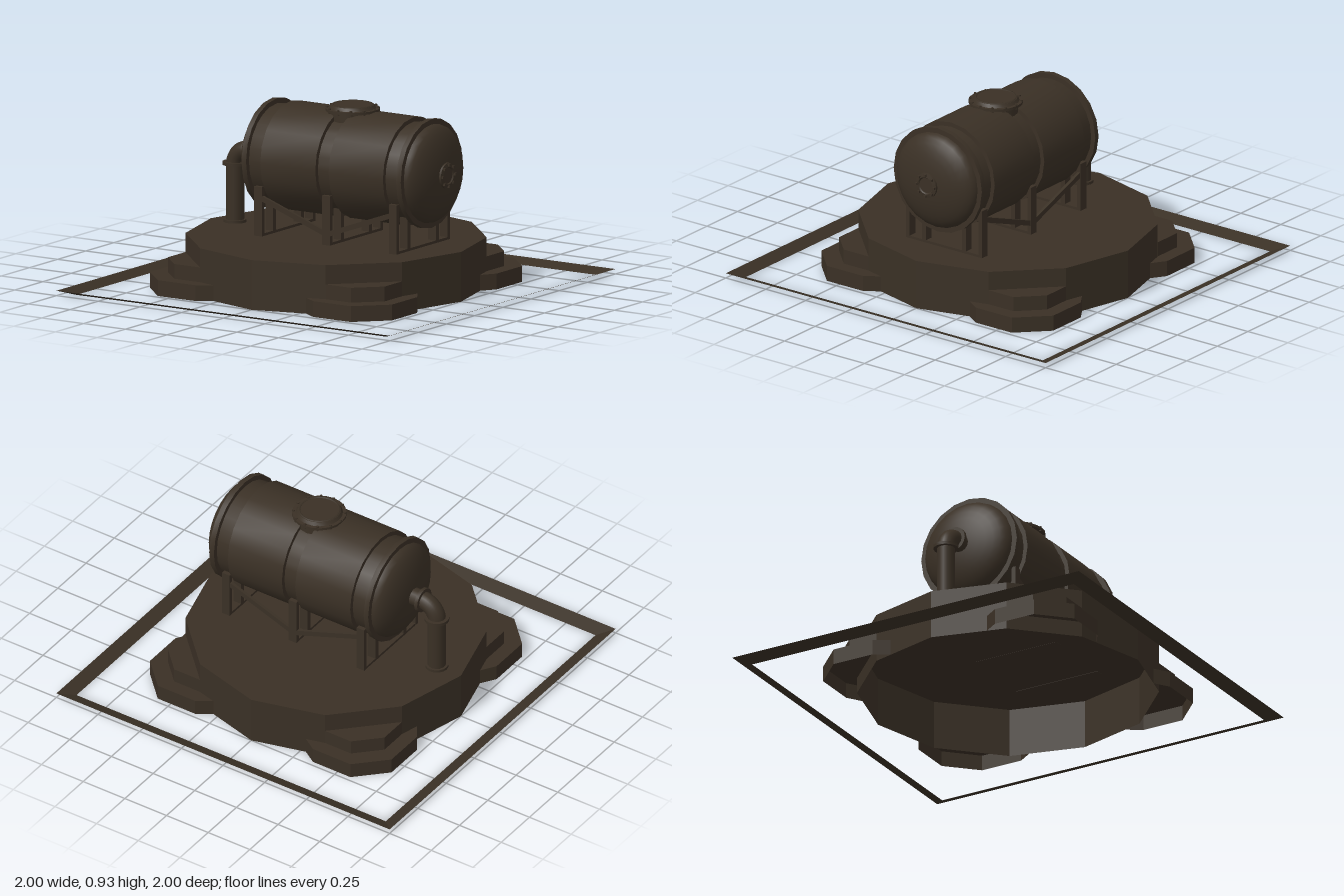
import * as THREE from 'three';
import { toCreasedNormals } from 'three/addons/utils/BufferGeometryUtils.js';

export function createModel() {
  const model = new THREE.Group();
  model.name = 'storageTank';
  const darkBrown = new THREE.MeshStandardMaterial({ color: 0x3a3025, side: THREE.DoubleSide });
  darkBrown.name = 'darkBrown';

  const add = (name, geo, x = 0, y = 0, z = 0, parent = model) => {
    const mesh = new THREE.Mesh(geo, darkBrown);
    mesh.name = name;
    mesh.position.set(x, y, z);
    parent.add(mesh);
    return mesh;
  };
  const box = (name, w, h, d, x, y, z) => add(name, new THREE.BoxGeometry(w, h, d), x, y, z);
  const turned = (profile, sides) => toCreasedNormals(
    new THREE.LatheGeometry(profile.map(([r, y]) => new THREE.Vector2(r, y)), sides), 0.6);
  const turnedX = (profile, sides) => turned(profile, sides).rotateZ(-Math.PI / 2);
  const disc = (r, h) => [[0, 0], [r, 0], [r, h], [0, h]];
  const fromCorners = (corners) => {
    const geo = new THREE.BufferGeometry();
    geo.setAttribute('position', new THREE.Float32BufferAttribute(corners.flat(), 3));
    geo.computeVertexNormals();
    return geo;
  };
  const quad = (a, b, c, d) => [a, b, c, a, c, d];

  // Walls and lid over an [x, z] outline, open underneath
  const shell = (outline, y0, y1) => {
    const corners = [];
    outline.forEach(([x, z], i) => {
      const [u, w] = outline[(i + 1) % outline.length];
      corners.push(...quad([x, y0, z], [u, y0, w], [u, y1, w], [x, y1, z]));
    });
    const flat = outline.map(([x, z]) => new THREE.Vector2(x, -z));
    for (const face of THREE.ShapeUtils.triangulateShape(flat, [])) {
      for (const i of face) corners.push([outline[i][0], y1, outline[i][1]]);
    }
    return fromCorners(corners);
  };

  // Sloping square border on the ground
  const border = [];
  const square = [[-1, 1], [1, 1], [1, -1], [-1, -1]];
  square.forEach(([x, z], i) => {
    const [u, w] = square[(i + 1) % 4];
    const k = 0.928;
    border.push(...quad([x, 0.025, z], [u, 0.025, w], [u * k, 0, w * k], [x * k, 0, z * k]));
  });
  add('groundBorder', fromCorners(border));

  // Twelve-sided plinth
  const ring = [];
  for (let i = 0; i < 12; i++) {
    const a = i * Math.PI / 6;
    ring.push([0.75 * Math.sin(a), 0.75 * Math.cos(a)]);
  }
  add('plinth', shell(ring, 0, 0.252));

  // Two-tier footings at the four corners
  const lowStep = [[0.278, 0.676], [0.353, 0.725], [0.578, 0.725], [0.725, 0.578],
    [0.725, 0.353], [0.676, 0.278], [0.65, 0.375], [0.375, 0.65]];
  const highStep = [[0.375, 0.65], [0.53, 0.65], [0.65, 0.53], [0.65, 0.375]];
  for (let i = 0; i < 4; i++) {
    const footing = new THREE.Group();
    footing.name = 'cornerFooting';
    footing.rotation.y = i * Math.PI / 2;
    add('lowerStep', shell(lowStep, 0, 0.08), 0, 0, 0, footing);
    add('upperStep', shell(highStep, 0.08, 0.155), 0, 0, 0, footing);
    model.add(footing);
  }

  // Tank vessel with domed ends
  const axisY = 0.63;
  const dome = [];
  for (let i = 0; i <= 8; i++) {
    const a = i / 8 * Math.PI / 2;
    dome.push([0.25 * Math.cos(a), 0.095 * Math.sin(a)]);
  }
  const vessel = [
    ...dome.map(([r, h]) => [r, -0.375 - h]).reverse(),
    ...dome.map(([r, h]) => [r, 0.57 + h]),
  ];
  add('tankVessel', turnedX(vessel, 24), 0, axisY, 0);

  // Raised cladding and end hoops
  const band = (x0, x1, r) => turnedX([[0.24, x0], [r, x0], [r, x1], [0.24, x1]], 20);
  add('cladding', band(-0.27, 0.06, 0.273), 0, axisY, 0);
  add('cladding', band(0.14, 0.465, 0.273), 0, axisY, 0);
  add('endHoop', band(-0.38, -0.353, 0.276), 0, axisY, 0);
  add('endHoop', band(0.546, 0.574, 0.276), 0, axisY, 0);

  // Round cover plate with bolts on the right end
  add('endCover', turnedX([[0, 0.64], [0.065, 0.64], [0.065, 0.672], [0.045, 0.676], [0.04, 0.67], [0, 0.67]], 16), 0, axisY, 0);
  for (let i = 0; i < 8; i++) {
    const a = i * Math.PI / 4;
    box('coverBolt', 0.012, 0.012, 0.012, 0.677, axisY + 0.055 * Math.cos(a), 0.055 * Math.sin(a));
  }

  // Top hatch
  const hatchX = 0.1;
  add('hatch', turned([[0.115, 0.84], [0.115, 0.897], [0.136, 0.897], [0.136, 0.91],
    [0.118, 0.91], [0.108, 0.926], [0, 0.926]], 20), hatchX, 0, 0);
  add('hatchRim', new THREE.TorusGeometry(0.1, 0.007, 6, 20).rotateX(Math.PI / 2), hatchX, 0.923, 0);
  for (let i = 0; i < 12; i++) {
    const a = i * Math.PI / 6;
    add('hatchBolt', new THREE.CylinderGeometry(0.007, 0.007, 0.026, 6),
      hatchX + 0.128 * Math.cos(a), 0.904, 0.128 * Math.sin(a));
  }

  // Outlet pipe with elbow and flanges
  const pipeX = -0.605, bend = 0.085, pipeY = 0.627;
  const route = new THREE.CurvePath();
  const v = (x, y) => new THREE.Vector3(x, y, 0);
  route.add(new THREE.LineCurve3(v(pipeX, 0.25), v(pipeX, pipeY - bend)));
  route.add(new THREE.CubicBezierCurve3(v(pipeX, pipeY - bend), v(pipeX, pipeY - bend * 0.45),
    v(pipeX + bend * 0.45, pipeY), v(pipeX + bend, pipeY)));
  route.add(new THREE.LineCurve3(v(pipeX + bend, pipeY), v(-0.44, pipeY)));
  add('outletPipe', new THREE.TubeGeometry(route, 48, 0.046, 14));
  add('pipeFlange', turned(disc(0.063, 0.016), 16), pipeX, 0.542, 0);
  add('pipeFoot', turned(disc(0.058, 0.014), 16), pipeX, 0.252, 0);
  add('pipeFlange', turnedX(disc(0.064, 0.018), 16), -0.53, pipeY, 0);

  // Support frames
  for (const x of [-0.307, 0.1, 0.5]) {
    box('footRail', 0.045, 0.014, 0.47, x, 0.258, 0);
    for (const side of [-1, 1]) {
      box('outerPost', 0.046, 0.25, 0.022, x, 0.377, side * 0.226);
      box('innerPost', 0.046, 0.17, 0.026, x, 0.337, side * 0.125);
    }
  }

  // Diagonal braces
  for (const side of [-1, 1]) {
    for (const endX of [-0.307, 0.5]) {
      const dx = endX - 0.1, dy = 0.145;
      const brace = box('diagonalBrace', Math.hypot(dx, dy), 0.026, 0.016,
        0.1 + dx / 2, 0.305 + dy / 2, side * 0.226);
      brace.rotation.z = Math.atan(dy / dx);
    }
  }
  return model;
}
